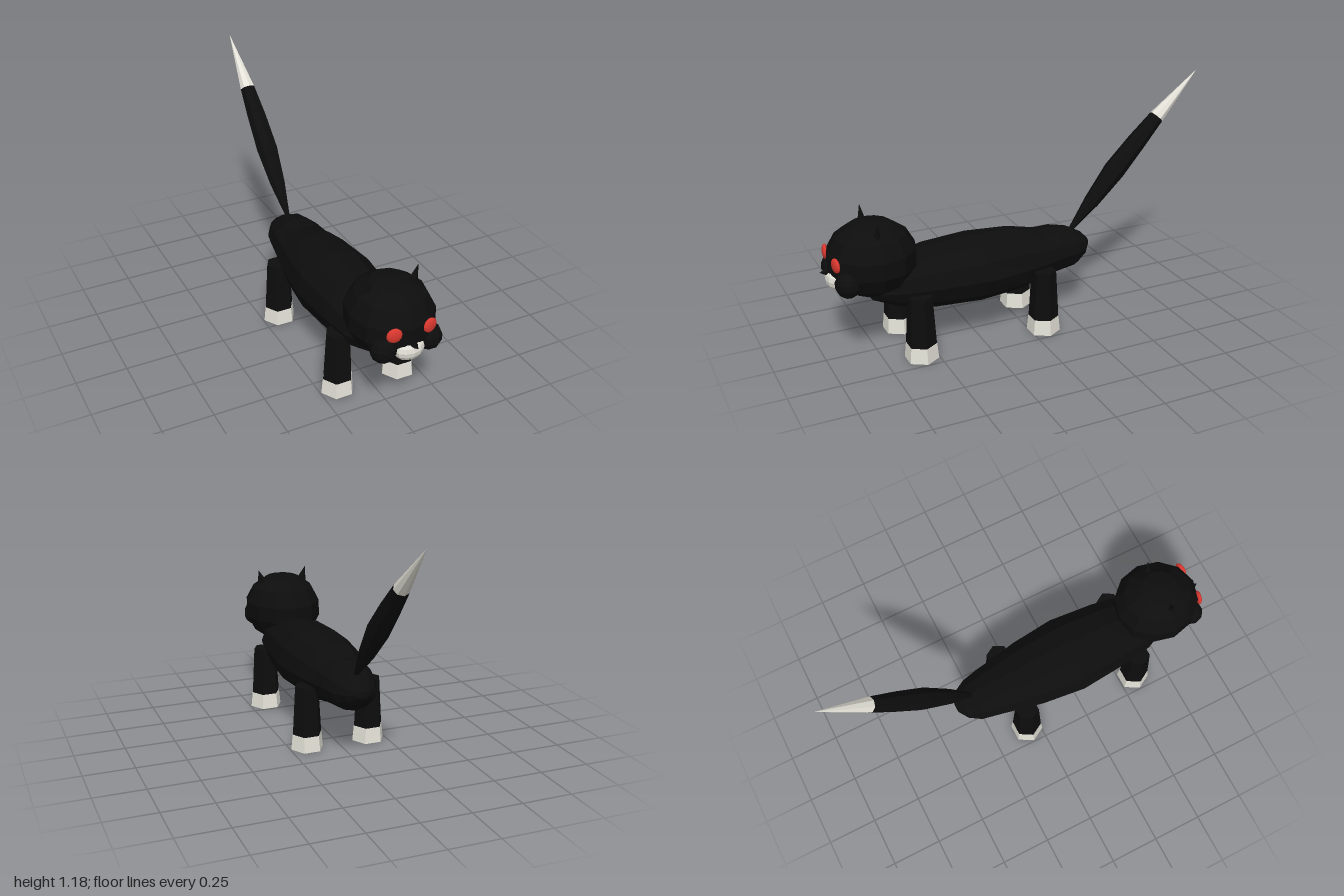
import * as THREE from 'three';

const black = new THREE.MeshStandardMaterial({ name: 'black fur', color: 0x0d0d0d, flatShading: true });
const white = new THREE.MeshStandardMaterial({ name: 'white fur', color: 0xe4e2d8, flatShading: true });
const red = new THREE.MeshStandardMaterial({ name: 'red eyes', color: 0xdb382f, flatShading: true });

// Joins elliptical rings [y, z, radiusX, radiusY], listed front to back and leaning by tilt
function loft(rings, sides, tilt = 0) {
  const pos = [], index = [];
  for (const [y, z, rx, ry] of rings) {
    for (let i = 0; i < sides; i++) {
      const a = (i / sides) * Math.PI * 2, up = ry * Math.sin(a);
      pos.push(rx * Math.cos(a), y + up * Math.cos(tilt), z + up * Math.sin(tilt));
    }
  }
  for (let r = 0; r < rings.length - 1; r++) {
    for (let i = 0; i < sides; i++) {
      const a = r * sides + i, b = r * sides + (i + 1) % sides;
      index.push(a, a + sides, b, b, a + sides, b + sides);
    }
  }
  const g = new THREE.BufferGeometry();
  g.setAttribute('position', new THREE.Float32BufferAttribute(pos, 3));
  g.setIndex(index);
  g.computeVertexNormals();
  return g;
}

export function createModel() {
  const cat = new THREE.Group();
  cat.name = 'cat';

  function add(name, geometry, material, x = 0, y = 0, z = 0, parent = cat) {
    const m = new THREE.Mesh(geometry, material);
    m.name = name;
    m.position.set(x, y, z);
    parent.add(m);
    return m;
  }
  const ball = (rx, ry, rz, w = 10, h = 7) => new THREE.SphereGeometry(1, w, h).scale(rx, ry, rz);

  // Body
  add('body', loft([
    [0.33, 0.78, 0, 0],
    [0.34, 0.77, 0.1, 0.055],
    [0.345, 0.64, 0.16, 0.115],
    [0.345, 0.47, 0.185, 0.153],
    [0.345, 0.24, 0.205, 0.165],
    [0.345, 0.02, 0.18, 0.153],
    [0.348, -0.12, 0.15, 0.118],
    [0.355, -0.2, 0.135, 0.115],
    [0.35, -0.29, 0.115, 0.1],
    [0.355, -0.35, 0.08, 0.06],
    [0.36, -0.385, 0.03, 0.02],
    [0.36, -0.386, 0, 0],
  ], 12), black);

  // Tail with a white tip
  const tilt = 0.82;
  add('tail', loft([
    [0.42, -0.28, 0, 0],
    [0.44, -0.3, 0.012, 0.012],
    [0.57, -0.415, 0.04, 0.038],
    [0.715, -0.54, 0.056, 0.053],
    [0.85, -0.665, 0.05, 0.046],
    [0.965, -0.775, 0.039, 0.036],
  ], 8, tilt), black);
  add('tailTip', loft([
    [0.965, -0.775, 0.039, 0.036],
    [1.185, -1, 0, 0],
  ], 8, tilt), white);

  // Head, muzzle and nose
  add('head', ball(0.205, 0.187, 0.22, 12, 7), black, 0, 0.495, 0.75);
  add('muzzle', ball(0.074, 0.058, 0.05, 12, 8), white, 0, 0.42, 0.925);
  add('nose', new THREE.OctahedronGeometry(1).scale(0.017, 0.017, 0.03), black, 0, 0.46, 0.97);

  for (const s of [1, -1]) {
    const side = s > 0 ? 'left' : 'right';

    // Cheek, eye and ear
    add(side + 'Cheek', ball(0.062, 0.065, 0.062), black, s * 0.113, 0.43, 0.9);
    const eye = add(side + 'Eye', ball(0.036, 0.036, 0.014, 12, 8), red, s * 0.088, 0.522, 0.946);
    eye.rotation.y = s * 0.2;
    const ear = add(side + 'Ear', new THREE.ConeGeometry(1, 0.12, 4).scale(0.042, 1, 0.03),
      black, s * 0.117, 0.652, 0.755);
    ear.rotation.z = -s * 0.3;

    // Six-sided legs with white paws
    for (const [end, z] of [['front', 0.578], ['back', -0.067]]) {
      const leg = new THREE.Group();
      leg.name = side + end[0].toUpperCase() + end.slice(1) + 'Leg';
      leg.position.set(s * 0.162, 0, z);
      cat.add(leg);
      const part = (rTop, rBottom, h) =>
        new THREE.CylinderGeometry(rTop, rBottom, h, 6).rotateY(Math.PI / 6 + Math.PI / 3);
      add('shin', part(0.06, 0.074, 0.247), black, 0, 0.2015, 0, leg).rotation.y = Math.PI / 6;
      add('paw', part(0.075, 0.083, 0.078), white, 0, 0.039, 0, leg).rotation.y = 0;
      leg.children[0].rotation.y = 0;
    }
  }
  return cat;
}
